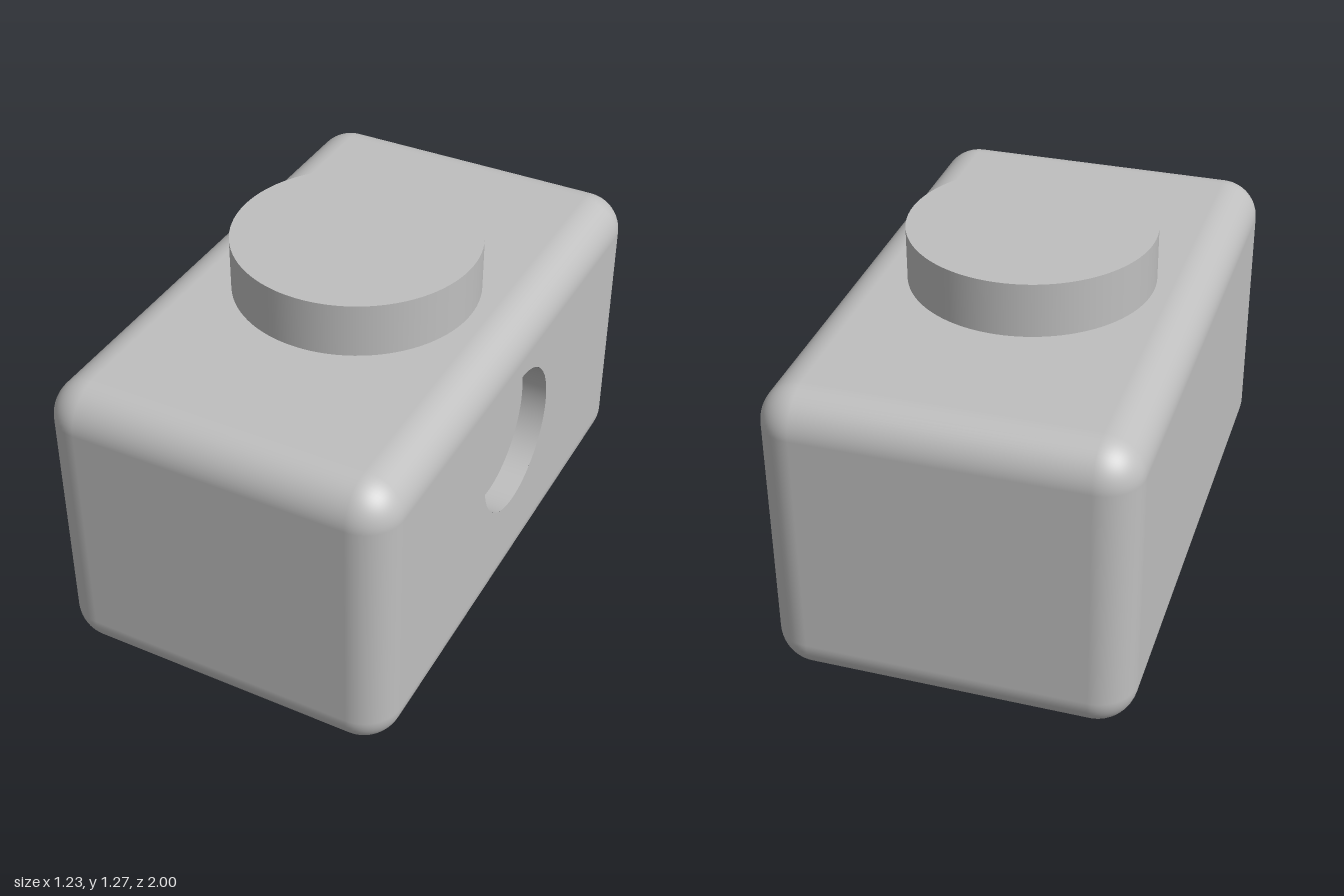
import * as THREE from 'three';
import { RoundedBoxGeometry } from 'three/addons/geometries/RoundedBoxGeometry.js';
import { mergeGeometries } from 'three/addons/utils/BufferGeometryUtils.js';

const W = 1.226, H = 1.08, L = 2, R = 0.135;         // body size and edge radius
const HOLE = { r: 0.26, y: 0.62, depth: 0.09 };      // round recess in the left side
const KNOB = { r: 0.423, top: 1.27 };
const SEGMENTS = 96;

// Rounded block without its flat +x panel
function openRoundedBox() {
  const source = new RoundedBoxGeometry(W, H, L, 8, R);
  const pos = source.attributes.position, nor = source.attributes.normal;
  const p = [], n = [];
  for (let i = 0; i < pos.count; i += 3) {
    const onPanel = [0, 1, 2].every((k) => pos.getX(i + k) > W / 2 - 1e-5);
    if (onPanel) continue;
    for (let k = i; k < i + 3; k++) {
      p.push(pos.getX(k), pos.getY(k), pos.getZ(k));
      n.push(nor.getX(k), nor.getY(k), nor.getZ(k));
    }
  }
  const g = new THREE.BufferGeometry();
  g.setAttribute('position', new THREE.Float32BufferAttribute(p, 3));
  g.setAttribute('normal', new THREE.Float32BufferAttribute(n, 3));
  return g.translate(0, H / 2, 0);
}

// Flat side panel with a round opening, facing +x
function sidePanel() {
  const z = L / 2 - R;
  const shape = new THREE.Shape([
    new THREE.Vector2(-z, R), new THREE.Vector2(z, R),
    new THREE.Vector2(z, H - R), new THREE.Vector2(-z, H - R),
  ]);
  shape.holes.push(new THREE.Path().absarc(0, HOLE.y, HOLE.r, 0, Math.PI * 2, true));
  const g = new THREE.ShapeGeometry(shape, SEGMENTS).rotateY(Math.PI / 2).translate(W / 2, 0, 0);
  g.deleteAttribute('uv');
  return g.toNonIndexed();
}

export function createModel() {
  const model = new THREE.Group();
  const grey = new THREE.MeshStandardMaterial({ color: 0xbfbfbf });
  grey.name = 'grey';

  const add = (name, geometry) => {
    const mesh = new THREE.Mesh(geometry, grey);
    mesh.name = name;
    model.add(mesh);
    return mesh;
  };

  add('body', mergeGeometries([openRoundedBox(), sidePanel()]));

  // Recess: inward-facing wall and flat floor
  const wall = new THREE.LatheGeometry(
    [new THREE.Vector2(HOLE.r, 0), new THREE.Vector2(HOLE.r, -HOLE.depth)], SEGMENTS);
  add('recessWall', wall.rotateZ(-Math.PI / 2)).position.set(W / 2, HOLE.y, 0);
  const floor = new THREE.CircleGeometry(HOLE.r, SEGMENTS).rotateY(Math.PI / 2);
  add('recessFloor', floor).position.set(W / 2 - HOLE.depth, HOLE.y, 0);

  // Round knob on top
  const height = KNOB.top - H;
  add('topKnob', new THREE.CylinderGeometry(KNOB.r, KNOB.r, height, SEGMENTS))
    .position.y = H + height / 2;

  return model;
}
